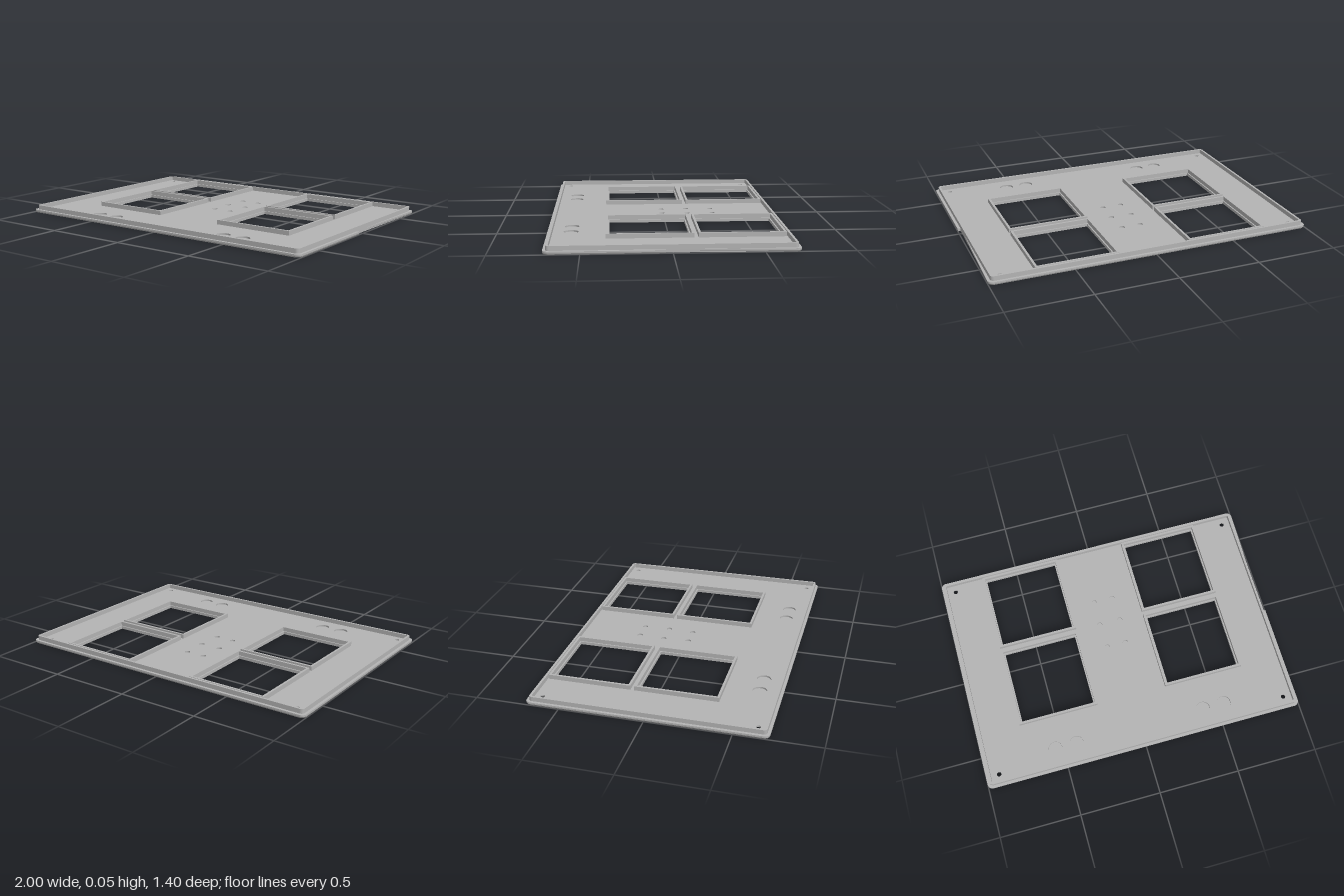
import * as THREE from 'three';

const HX = 1, HZ = 0.7025;            // half size of the plate
const SKIN = 0.008, FLOOR = 0.018, TOP = 0.045;
const NOTCH = 0.04, RIM_X = 0.983, RIM_Z = 0.686;
const WINDOWS = [];
for (const x of [-0.473, 0.473]) for (const z of [-0.415, 0.113]) WINDOWS.push([x, z]);
const SCREWS = [];
for (const x of [-0.918, 0.918]) for (const z of [-0.628, 0.628]) SCREWS.push([x, z]);

// Rounded rectangle; shape y is -z of the model
function roundRect(P, cx, cz, hx, hz, r) {
  const p = new P(), y = -cz;
  const corners = [[1, 1, 0], [-1, 1, 1], [-1, -1, 2], [1, -1, 3]];
  corners.forEach(([sx, sy, q]) =>
    p.absarc(cx + sx * (hx - r), y + sy * (hz - r), r, q * Math.PI / 2, (q + 1) * Math.PI / 2, false));
  p.closePath();
  return p;
}

function rect(P, cx, cz, hx, hz) {
  const p = new P();
  p.moveTo(cx - hx, -cz - hz);
  p.lineTo(cx + hx, -cz - hz);
  p.lineTo(cx + hx, -cz + hz);
  p.lineTo(cx - hx, -cz + hz);
  p.closePath();
  return p;
}

function circle(x, z, r) {
  return new THREE.Path().absarc(x, -z, r, 0, Math.PI * 2, false);
}

// Plate outline with the cable notch on the left edge
function plateShape() {
  const r = 0.03, s = new THREE.Shape(), h = Math.PI / 2;
  s.moveTo(HX, NOTCH);
  s.absarc(HX - r, HZ - r, r, 0, h, false);
  s.absarc(-HX + r, HZ - r, r, h, 2 * h, false);
  s.absarc(-HX + r, -HZ + r, r, 2 * h, 3 * h, false);
  s.absarc(HX - r, -HZ + r, r, 3 * h, 4 * h, false);
  s.lineTo(HX, -NOTCH);
  s.lineTo(RIM_X, -NOTCH);
  s.lineTo(RIM_X, NOTCH);
  s.closePath();
  WINDOWS.forEach(([x, z]) => s.holes.push(rect(THREE.Path, x, z, 0.23, 0.23)));
  SCREWS.forEach(([x, z]) => s.holes.push(circle(x, z, 0.014)));
  return s;
}

function slab(shape, y0, y1) {
  const g = new THREE.ExtrudeGeometry(shape, { depth: y1 - y0, bevelEnabled: false, curveSegments: 16 });
  g.rotateX(-Math.PI / 2);
  g.translate(0, y0, 0);
  return g;
}

export function createModel() {
  const grey = new THREE.MeshStandardMaterial({ color: 0xb4b4b4 });
  grey.name = 'plain grey';
  const group = new THREE.Group();
  group.name = 'coverPlate';
  const add = (name, geometry) => {
    const mesh = new THREE.Mesh(geometry, grey);
    mesh.name = name;
    group.add(mesh);
  };

  // Underside skin: chamfered outer edge and countersunk screw holes
  const skin = slab(plateShape(), 0, SKIN);
  const p = skin.attributes.position;
  for (let i = 0; i < p.count; i++) {
    if (p.getY(i) > 0.001) continue;
    const x = p.getX(i), z = p.getZ(i);
    if (Math.abs(x) > 0.985 || Math.abs(z) > 0.69) {
      p.setXYZ(i, x * 0.996, 0, z * 0.9945);
      continue;
    }
    const hole = SCREWS.find(([a, b]) => Math.hypot(x - a, z - b) < 0.02);
    if (hole) p.setXYZ(i, hole[0] + (x - hole[0]) * 1.8, 0, hole[1] + (z - hole[1]) * 1.8);
  }
  skin.computeVertexNormals();
  add('undersideSkin', skin);

  // Floor with blind recesses
  const floor = plateShape();
  for (const s of [-1, 1]) {
    for (const x of [0.41, 0.545]) floor.holes.push(circle(s * x, 0.565, 0.043));
    for (const [x, z] of [[0.06, -0.31], [0.067, -0.15], [0.06, 0.01]])
      floor.holes.push(circle(s * x, z, 0.017));
  }
  add('floor', slab(floor, SKIN, FLOOR));

  // Raised rim set in from the plate edge
  const rim = roundRect(THREE.Shape, 0, 0, RIM_X, RIM_Z, 0.02);
  rim.holes.push(roundRect(THREE.Path, 0, 0, RIM_X - 0.014, RIM_Z - 0.014, 0.008));
  add('rim', slab(rim, FLOOR, TOP));

  // Window frames, leaving a narrow ledge round each opening
  WINDOWS.forEach(([x, z], i) => {
    const frame = rect(THREE.Shape, x, z, 0.252, 0.252);
    frame.holes.push(rect(THREE.Path, x, z, 0.238, 0.238));
    add('windowFrame' + (i + 1), slab(frame, FLOOR, TOP));
  });
  return group;
}
